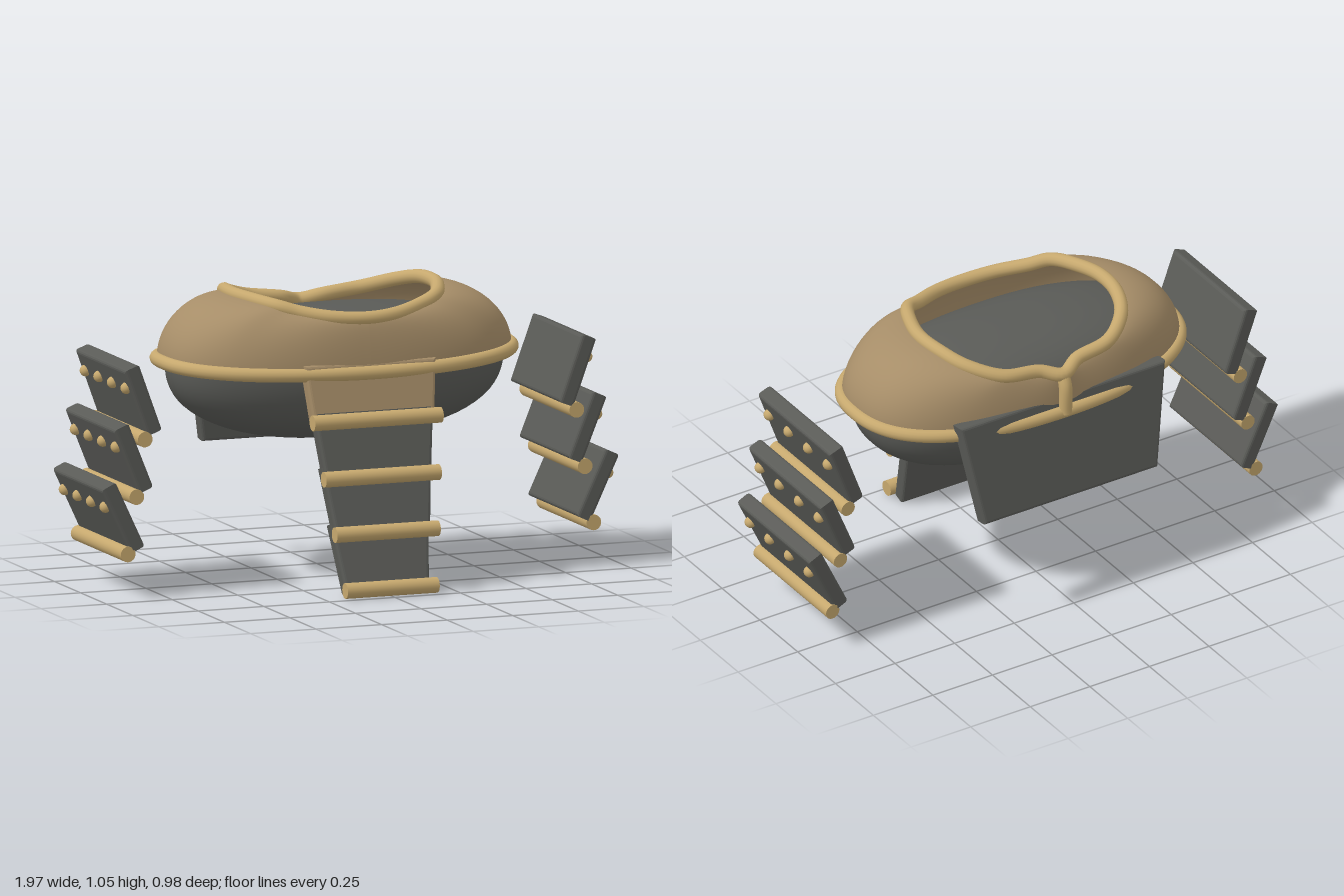
import * as THREE from 'three';

const V = (x, y, z) => new THREE.Vector3(x, y, z);
const P = 2.4; // roundness of the squarish oval body
const CZ = -0.083; // body centre in z

// point on the oval lower edge at angle a
function rimPoint(a) {
  const c = Math.cos(a), s = Math.sin(a);
  const r = Math.pow(Math.abs(c) ** P + Math.abs(s) ** P, -1 / P);
  return V(0.65 * r * c, 0.775 + 0.022 * c * c, CZ + 0.353 * r * s);
}

export function createModel() {
  const model = new THREE.Group();
  const make = (name, color, side = THREE.FrontSide) => {
    const m = new THREE.MeshStandardMaterial({ color, side });
    m.name = name;
    return m;
  };
  const shellMat = make('tan', 0xa68d68, THREE.DoubleSide);
  const trimMat = make('gold trim', 0xc6a86e);
  const darkMat = make('dark grey', 0x5a5b57);

  const add = (name, geo, mat, parent = model) => {
    const m = new THREE.Mesh(geo, mat);
    m.name = name;
    parent.add(m);
    return m;
  };

  // bevelled trapezoid plate from top centre a to bottom centre b; its face looks along across x up
  function plate(name, mat, topHalf, botHalf, a, b, across, parent, t = 0.056) {
    const e = 0.012, h = a.distanceTo(b) / 2 - e;
    const shape = new THREE.Shape([
      new THREE.Vector2(-botHalf + e, -h), new THREE.Vector2(botHalf - e, -h),
      new THREE.Vector2(topHalf - e, h), new THREE.Vector2(-topHalf + e, h),
    ]);
    const geo = new THREE.ExtrudeGeometry(shape, {
      depth: t - 2 * e, bevelEnabled: true, bevelSize: e, bevelThickness: e, bevelSegments: 3,
    });
    geo.translate(0, 0, -t / 2 + e);
    const up = a.clone().sub(b).normalize();
    const out = across.clone().cross(up);
    const m = add(name, geo, mat, parent);
    m.quaternion.setFromRotationMatrix(new THREE.Matrix4().makeBasis(across, up, out));
    m.position.copy(a).add(b).multiplyScalar(0.5);
    return m;
  }

  // round bar along x or z
  function bar(name, length, axis, pos, parent) {
    const geo = new THREE.CylinderGeometry(0.028, 0.028, length, 24);
    if (axis === 'x') geo.rotateZ(Math.PI / 2);
    else geo.rotateX(Math.PI / 2);
    add(name, geo, trimMat, parent).position.copy(pos);
  }

  // dark inner body: squarish ellipsoid, flatter on top
  const bowl = new THREE.SphereGeometry(1, 64, 40);
  const pos = bowl.attributes.position;
  for (let i = 0; i < pos.count; i++) {
    const v = V().fromBufferAttribute(pos, i);
    v.multiplyScalar(Math.pow(Math.abs(v.x) ** P + Math.abs(v.y) ** P + Math.abs(v.z) ** P, -1 / P));
    pos.setXYZ(i, v.x * 0.625, 0.78 + v.y * (v.y > 0 ? 0.185 : 0.283), CZ + v.z * 0.3);
  }
  bowl.computeVertexNormals();
  add('innerBody', bowl, darkMat);

  // neck opening, mirrored from its left half
  const half = [
    [0.12, 0.972, 0.215], [0.23, 0.99, 0.165], [0.3, 1.01, 0.125], [0.35, 1.02, 0.03],
    [0.38, 1.025, -0.08], [0.37, 1.022, -0.2], [0.325, 1.0, -0.3], [0.22, 0.965, -0.38], [0.08, 0.945, -0.395],
  ].map((p) => V(...p));
  const neck = new THREE.CatmullRomCurve3([
    V(0, 0.965, 0.232), ...half, V(0, 0.925, -0.43),
    ...half.slice().reverse().map((p) => V(-p.x, p.y, p.z)),
  ], true);
  add('neckTrim', new THREE.TubeGeometry(neck, 160, 0.025, 14, true), trimMat);

  // lower edge trim
  const rimPts = Array.from({ length: 64 }, (_, i) => rimPoint((i / 64) * Math.PI * 2));
  const rim = new THREE.CatmullRomCurve3(rimPts, true);
  add('rimTrim', new THREE.TubeGeometry(rim, 160, 0.025, 14, true), trimMat);

  // rounded shell swept from the lower edge up to the neck
  const N = 128, R = 16, verts = [], idx = [];
  for (let i = 0; i <= N; i++) {
    const n = neck.getPoint((i % N) / N);
    const r = rimPoint(Math.atan2((n.z + 0.09) / 0.32, n.x / 0.38));
    for (let j = 0; j <= R; j++) {
      const q = (j / R) * Math.PI / 2, k = 1 - Math.cos(q);
      verts.push(r.x + (n.x - r.x) * k, r.y + (n.y - r.y) * Math.sin(q), r.z + (n.z - r.z) * k);
      if (i < N && j < R) {
        const a = i * (R + 1) + j, b = a + R + 1;
        idx.push(a, b, a + 1, b, b + 1, a + 1);
      }
    }
  }
  const shell = new THREE.BufferGeometry();
  shell.setAttribute('position', new THREE.Float32BufferAttribute(verts, 3));
  shell.setIndex(idx);
  shell.computeVertexNormals();
  add('shell', shell, shellMat);

  // short trim running down the back
  const strap = new THREE.CatmullRomCurve3([V(0, 0.925, -0.425), V(0, 0.88, -0.445), V(0, 0.775, -0.445)]);
  add('backStrap', new THREE.TubeGeometry(strap, 16, 0.024, 14), trimMat);

  // front apron of overlapping plates with bars
  const apron = new THREE.Group();
  apron.name = 'frontApron';
  model.add(apron);
  const X = V(1, 0, 0);
  plate('apronTop', shellMat, 0.25, 0.232, V(0, 0.81, 0.24), V(0, 0.61, 0.28), X, apron);
  [
    [0.228, 0.203, V(0, 0.65, 0.272), V(0, 0.42, 0.322)],
    [0.207, 0.182, V(0, 0.45, 0.302), V(0, 0.22, 0.366)],
    [0.186, 0.16, V(0, 0.25, 0.333), V(0, 0.012, 0.41)],
  ].forEach(([t, b, p, q]) => plate('apronPlate', darkMat, t, b, p, q, X, apron));
  [[0.245, 0.617, 0.325], [0.22, 0.42, 0.37], [0.197, 0.227, 0.417], [0.175, 0.032, 0.462]]
    .forEach(([w, y, z]) => bar('apronBar', 2 * w, 'x', V(0, y, z), apron));

  // back plate
  plate('backPlate', darkMat, 0.43, 0.365, V(0, 0.835, -0.402), V(0, 0.44, -0.458), V(-1, 0, 0), model, 0.06);

  // shoulder plates on both sides: top x,y, bottom x,y, bar x,y
  const tiers = [
    [0.872, 0.832, 0.785, 0.594, 0.823, 0.572],
    [0.912, 0.622, 0.818, 0.39, 0.855, 0.367],
    [0.96, 0.412, 0.85, 0.178, 0.888, 0.163],
  ];
  for (const s of [1, -1]) {
    const guard = new THREE.Group();
    guard.name = s > 0 ? 'leftShoulderGuard' : 'rightShoulderGuard';
    model.add(guard);
    for (const [tx, ty, bx, by, rx, ry] of tiers) {
      const m = plate('shoulderPlate', darkMat, 0.24, 0.24,
        V(s * tx, ty, -0.065), V(s * bx, by, -0.065), V(0, 0, -s), guard, 0.06);
      for (let i = 0; i < 4; i++) {
        const stud = add('stud', new THREE.SphereGeometry(0.021, 16, 12), trimMat, m);
        stud.position.set(s * (-0.195 + i * 0.13), 0.055, 0.032);
      }
      bar('shoulderBar', 0.48, 'z', V(s * rx, ry, -0.065), guard);
    }
  }
  return model;
}
